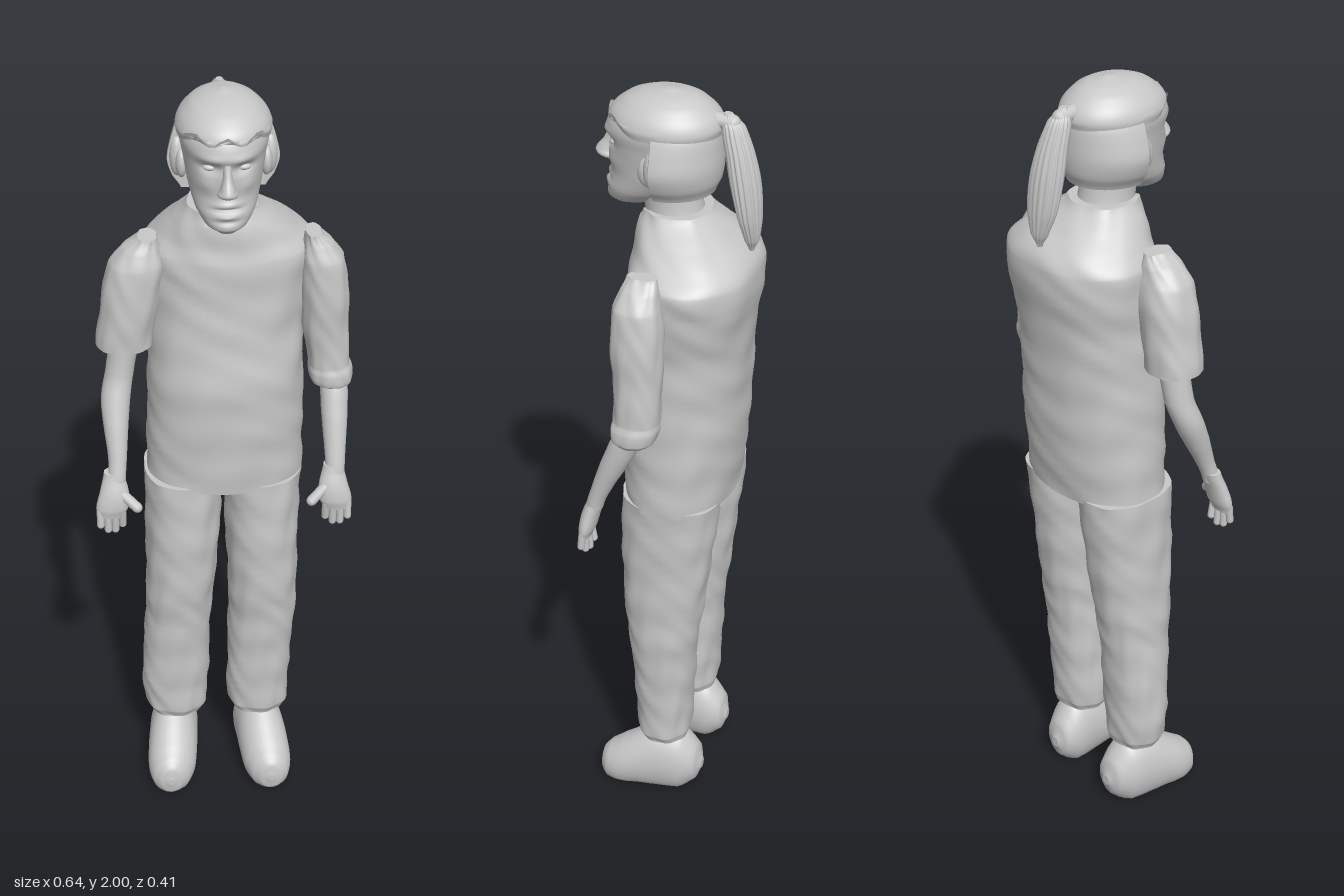
import * as THREE from 'three';

const grey = new THREE.MeshStandardMaterial({ color: 0xc8c8c8 });
grey.name = 'plain grey';

// Smooth closed loft. Rings run along +y: [y, cx, cz, rx, rz].
// o.n sides, o.p superellipse power, o.wrinkle cloth depth, o.flutes strand depth,
// o.lie turns y into z (and z into -y), o.shape edits each point.
function loft(name, rings, o = {}) {
  const { n = 32, p = 2, steps = 4, wrinkle = 0, flutes = 0, lie = false, shape } = o;
  const pos = [], idx = [], rows = (rings.length - 1) * steps + 1;
  const at = (i, k) => rings[Math.max(0, Math.min(rings.length - 1, i))][k];
  const spline = (i, t, k) => {
    const a = at(i - 1, k), b = at(i, k), c = at(i + 1, k), d = at(i + 2, k);
    if (k === 0) return b + (c - b) * t;
    return b + 0.5 * t * (c - a + t * (2 * a - 5 * b + 4 * c - d + t * (3 * (b - c) + d - a)));
  };
  const put = (x, y, z) => {
    const v = lie ? new THREE.Vector3(x, -z, y) : new THREE.Vector3(x, y, z);
    if (shape) shape(v);
    pos.push(v.x, v.y, v.z);
  };
  const sup = (c) => Math.sign(c) * Math.pow(Math.abs(c), 2 / p);
  for (let r = 0; r < rows; r++) {
    const i = Math.min(Math.floor(r / steps), rings.length - 2), t = r / steps - i;
    const [y, cx, cz, rx, rz] = [0, 1, 2, 3, 4].map((k) => spline(i, t, k));
    for (let j = 0; j < n; j++) {
      const a = (j / n) * Math.PI * 2;
      const w = wrinkle * Math.sin(y * 48 + 2 * Math.sin(a * 3 + y * 9)) * Math.sin(a * 4 + y * 17);
      const f = 1 + flutes * Math.cos(a * n / 4);
      put(cx + (rx * f + w) * sup(Math.sin(a)), y, cz + (rz * f + w) * sup(Math.cos(a)));
    }
  }
  for (let r = 0; r < rows - 1; r++) for (let j = 0; j < n; j++) {
    const k = (j + 1) % n, a = r * n + j, b = r * n + k;
    idx.push(a, b, b + n, a, b + n, a + n);
  }
  // end caps with their own corners, so the rims stay crisp
  for (const top of [false, true]) {
    const ring = rings[top ? rings.length - 1 : 0], from = top ? (rows - 1) * n : 0;
    const c = pos.length / 3;
    put(ring[1], ring[0], ring[2]);
    for (let j = 0; j < n; j++) pos.push(...pos.slice((from + j) * 3, (from + j) * 3 + 3));
    for (let j = 0; j < n; j++) {
      const a = c + 1 + j, b = c + 1 + ((j + 1) % n);
      if (top) idx.push(c, a, b); else idx.push(c, b, a);
    }
  }
  const g = new THREE.BufferGeometry();
  g.setAttribute('position', new THREE.Float32BufferAttribute(pos, 3));
  g.setIndex(idx);
  g.computeVertexNormals();
  return named(name, g);
}

function named(name, geometry) {
  const m = new THREE.Mesh(geometry, grey);
  m.name = name;
  return m;
}

function ball(name, x, y, z, rx, ry, rz) {
  const m = named(name, new THREE.SphereGeometry(1, 20, 14));
  m.position.set(x, y, z);
  m.scale.set(rx, ry, rz);
  return m;
}

// Rounded rod between two points
function rod(name, a, b, r) {
  const A = new THREE.Vector3(...a), B = new THREE.Vector3(...b), d = B.clone().sub(A);
  const m = named(name, new THREE.CapsuleGeometry(r, d.length(), 5, 12));
  m.position.copy(A).add(B).multiplyScalar(0.5);
  m.quaternion.setFromUnitVectors(new THREE.Vector3(0, 1, 0), d.normalize());
  return m;
}

// Hand hanging below the wrist; s is the side
function hand(s, x, z) {
  const g = new THREE.Group();
  g.name = s > 0 ? 'leftHand' : 'rightHand';
  g.position.set(x, 0, z);
  g.add(loft('palm', [[0.915, s * 0.01, 0.015, 0.032, 0.013], [0.94, s * 0.006, 0.012, 0.04, 0.02],
    [0.98, 0, 0.004, 0.036, 0.022], [1.03, 0, -0.012, 0.024, 0.02]], { n: 20 }));
  for (let i = 0; i < 4; i++) {
    const fx = s * (-0.018 + i * 0.018), low = [0.885, 0.872, 0.875, 0.892][i];
    g.add(rod('finger', [fx, 0.93, 0.016], [fx, low, 0.008 + 0.004 * i], 0.0095));
  }
  g.add(rod('thumb', [-s * 0.022, 0.975, 0.012], [-s * 0.055, 0.945, 0.026], 0.013));
  return g;
}

function head() {
  const g = new THREE.Group();
  g.name = 'head';
  // dents and swellings of the face: [x, y, width, height, depth]
  const face = [[0.038, 1.868, 0.022, 0.012, -0.014], [-0.038, 1.868, 0.022, 0.012, -0.014],
    [0.035, 1.893, 0.03, 0.009, 0.006], [-0.035, 1.893, 0.03, 0.009, 0.006],
    [0.05, 1.825, 0.02, 0.02, 0.006], [-0.05, 1.825, 0.02, 0.02, 0.006],
    [0, 1.768, 0.035, 0.005, -0.008], [0, 1.78, 0.028, 0.006, 0.007],
    [0, 1.755, 0.024, 0.006, 0.006], [0, 1.74, 0.03, 0.006, -0.006]];
  g.add(loft('face', [[1.705, 0, 0.13, 0.025, 0.03], [1.72, 0, 0.115, 0.05, 0.06],
    [1.75, 0, 0.09, 0.07, 0.085], [1.79, 0, 0.06, 0.083, 0.105], [1.83, 0, 0.045, 0.091, 0.122],
    [1.87, 0, 0.04, 0.097, 0.13], [1.91, 0, 0.04, 0.102, 0.132], [1.95, 0, 0.035, 0.09, 0.115],
    [1.98, 0, 0.028, 0.064, 0.08], [1.995, 0, 0.02, 0.02, 0.025]], {
    n: 64, steps: 7,
    shape: (v) => {
      if (v.z < 0.06) return;
      for (const [x, y, w, h, d] of face) v.z += d * Math.exp(-(((v.x - x) / w) ** 2) - ((v.y - y) / h) ** 2);
    },
  }));
  g.add(loft('nose', [[1.802, 0, 0.165, 0.014, 0.012], [1.813, 0, 0.174, 0.024, 0.028],
    [1.825, 0, 0.176, 0.018, 0.03], [1.85, 0, 0.167, 0.011, 0.02], [1.885, 0, 0.16, 0.01, 0.012]], { n: 20 }));
  for (const s of [-1, 1]) {
    g.add(ball('eye', s * 0.038, 1.867, 0.143, 0.016, 0.008, 0.012));
    g.add(ball('ear', s * 0.097, 1.83, 0.045, 0.014, 0.036, 0.022));
    g.add(ball('sideLock', s * 0.106, 1.84, 0.028, 0.018, 0.05, 0.022));
  }
  // hair: crown with a ragged hairline, and a half shell behind the ears
  g.add(loft('hairCrown', [[1.905, 0, 0.03, 0.108, 0.13], [1.925, 0, 0.032, 0.11, 0.136],
    [1.95, 0, 0.032, 0.1, 0.125], [1.975, 0, 0.03, 0.077, 0.096], [1.99, 0, 0.025, 0.048, 0.062],
    [2.0, 0, 0.02, 0.008, 0.01]], {
    n: 48, shape: (v) => { if (v.y < 1.93 && v.z > 0.03) v.y += 0.012 + 0.01 * Math.cos(v.x * 90); },
  }));
  g.add(loft('hairBack', [[1.76, 0, 0.03, 0.098, 0.115], [1.79, 0, 0.03, 0.117, 0.128],
    [1.83, 0, 0.03, 0.129, 0.133], [1.87, 0, 0.03, 0.123, 0.132], [1.91, 0, 0.03, 0.112, 0.129],
    [1.94, 0, 0.03, 0.098, 0.115]], { n: 48, shape: (v) => { v.z = Math.min(v.z, 0.032); } }));
  // ponytail
  g.add(rod('hairTie', [0, 1.94, -0.07], [0, 1.937, -0.125], 0.019));
  g.add(loft('ponytail', [[1.63, 0.012, -0.18, 0.006, 0.006], [1.66, 0.012, -0.18, 0.022, 0.017],
    [1.72, 0.01, -0.173, 0.04, 0.027], [1.8, 0.007, -0.16, 0.043, 0.033],
    [1.87, 0.004, -0.145, 0.036, 0.031], [1.93, 0, -0.127, 0.025, 0.026],
    [1.96, 0, -0.115, 0.008, 0.01]], { n: 64, flutes: 0.07 }));
  g.add(loft('neck', [[1.66, 0, 0.005, 0.075, 0.075], [1.72, 0, 0.015, 0.064, 0.07],
    [1.8, 0, 0.03, 0.066, 0.075]]));
  return g;
}

export function createModel() {
  const model = new THREE.Group();
  model.name = 'standingWoman';
  const cloth = { n: 64, steps: 8, p: 2.2, wrinkle: 0.003 };

  model.add(head());

  // loose shirt, dipping at the front of the collar
  model.add(loft('shirt', [[0.948, 0.005, -0.015, 0.196, 0.135], [1.1, 0.007, -0.02, 0.193, 0.147],
    [1.25, 0.008, -0.022, 0.19, 0.152], [1.4, 0.01, -0.035, 0.188, 0.147],
    [1.52, 0.016, -0.046, 0.199, 0.152], [1.585, 0.018, -0.05, 0.199, 0.152],
    [1.62, 0.013, -0.043, 0.168, 0.14], [1.66, 0.007, -0.02, 0.13, 0.113],
    [1.71, 0, 0.002, 0.082, 0.08]], {
    ...cloth, shape: (v) => { if (v.y > 1.69 && v.z > 0.03) v.y -= 0.02 * Math.max(0, 1 - Math.abs(v.x) / 0.06); },
  }));

  // left arm: sleeve rolled to below the elbow
  model.add(loft('leftSleeve', [[1.21, 0.272, 0.022, 0.034, 0.04], [1.222, 0.265, 0.02, 0.05, 0.054],
    [1.25, 0.262, 0.016, 0.054, 0.058], [1.27, 0.258, 0.014, 0.051, 0.055], [1.38, 0.247, 0.014, 0.056, 0.058],
    [1.48, 0.243, 0.017, 0.056, 0.063], [1.56, 0.236, 0.018, 0.051, 0.056],
    [1.6, 0.225, 0.016, 0.034, 0.045], [1.628, 0.212, 0.015, 0.018, 0.036]], { ...cloth, wrinkle: 0.002 }));
  model.add(loft('leftForearm', [[1.0, 0.27, 0.122, 0.023, 0.021], [1.06, 0.27, 0.102, 0.026, 0.025],
    [1.14, 0.27, 0.068, 0.032, 0.034], [1.2, 0.27, 0.042, 0.034, 0.037], [1.25, 0.268, 0.022, 0.034, 0.036]]));
  model.add(hand(1, 0.265, 0.128));

  // right arm: short sleeve and bare elbow
  model.add(loft('rightSleeve', [[1.343, -0.238, 0.016, 0.068, 0.066], [1.42, -0.228, 0.016, 0.068, 0.068],
    [1.5, -0.215, 0.016, 0.07, 0.068], [1.56, -0.203, 0.016, 0.066, 0.06],
    [1.6, -0.192, 0.015, 0.044, 0.048], [1.628, -0.178, 0.015, 0.022, 0.036]], { ...cloth, wrinkle: 0.002 }));
  model.add(loft('rightForearm', [[1.0, -0.268, 0.122, 0.022, 0.021], [1.06, -0.264, 0.102, 0.023, 0.024],
    [1.14, -0.265, 0.068, 0.031, 0.034], [1.2, -0.263, 0.042, 0.036, 0.038],
    [1.26, -0.252, 0.022, 0.035, 0.037], [1.36, -0.237, 0.016, 0.036, 0.038]]));
  model.add(hand(-1, -0.275, 0.128));

  // trousers
  model.add(loft('leftTrouserLeg', [[0.178, 0.094, 0.005, 0.07, 0.062], [0.2, 0.093, 0.006, 0.08, 0.069],
    [0.35, 0.096, 0.006, 0.083, 0.077], [0.5, 0.102, 0.006, 0.087, 0.087], [0.6, 0.103, 0.005, 0.088, 0.1],
    [0.78, 0.1, -0.003, 0.093, 0.115], [0.96, 0.1, -0.014, 0.097, 0.124]], cloth));
  model.add(loft('rightTrouserLeg', [[0.178, -0.126, 0.005, 0.07, 0.062], [0.2, -0.127, 0.006, 0.081, 0.069],
    [0.3, -0.126, 0.006, 0.088, 0.074], [0.5, -0.118, 0.006, 0.085, 0.087], [0.6, -0.111, 0.005, 0.088, 0.1],
    [0.78, -0.102, -0.003, 0.095, 0.115], [0.96, -0.1, -0.014, 0.097, 0.124]], cloth));

  // shoes with flat soles, toes turned outward
  for (const [name, heel, turn] of [['leftShoe', 0.088, 0.032], ['rightShoe', -0.125, -0.024]]) {
    const rings = [[-0.096, 0.07, 0.012, 0.015], [-0.082, 0.075, 0.042, 0.055], [-0.04, 0.08, 0.062, 0.098],
      [0.02, 0.08, 0.065, 0.105], [0.07, 0.068, 0.066, 0.09], [0.12, 0.05, 0.063, 0.075],
      [0.155, 0.042, 0.05, 0.058], [0.172, 0.04, 0.03, 0.04], [0.178, 0.04, 0.008, 0.01]];
    model.add(loft(name, rings.map(([z, h, rx, ry]) => [z, heel + turn * (z + 0.09) / 0.26, -h, rx, ry]),
      { n: 40, lie: true, shape: (v) => { v.y = Math.max(v.y, 0); } }));
  }
  return model;
}
